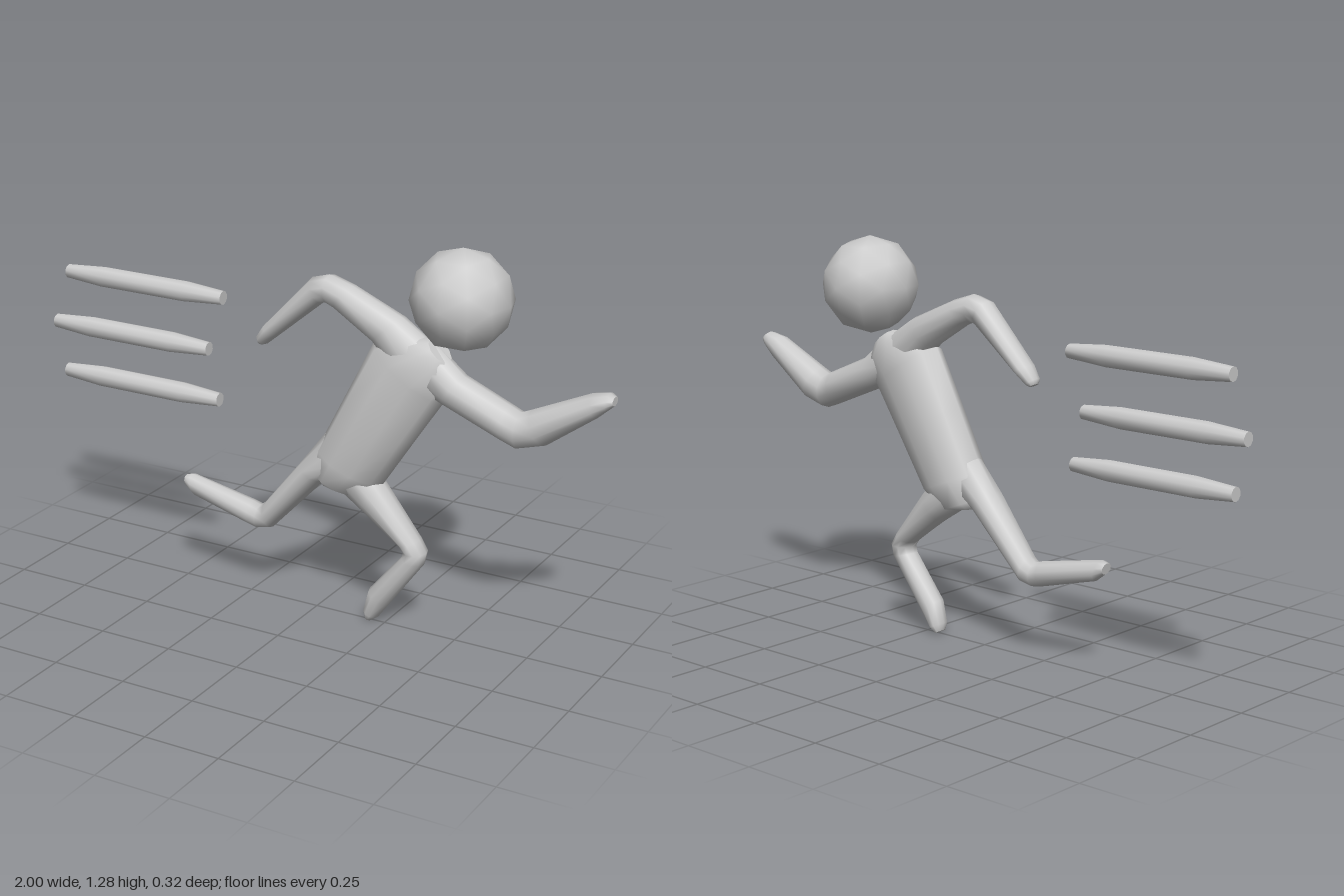
import * as THREE from 'three';

const SIDES = 10;
const material = new THREE.MeshStandardMaterial({ color: 0xcccccc });

// Smooth tube lofted through oval sections in the xy plane.
// Section: [x, y of the edge left of travel, x, y of the right edge, half depth in z]
function loft(name, sections) {
  const pos = [], index = [];
  const ring = ([ax, ay, bx, by, d]) => {
    for (let i = 0; i < SIDES; i++) {
      const t = (i / SIDES) * Math.PI * 2, c = Math.cos(t) / 2;
      pos.push((ax + bx) / 2 + (ax - bx) * c, (ay + by) / 2 + (ay - by) * c, d * Math.sin(t));
    }
  };
  sections.forEach(ring);
  for (let s = 0; s < sections.length - 1; s++) {
    for (let i = 0; i < SIDES; i++) {
      const a = s * SIDES + i, b = s * SIDES + (i + 1) % SIDES;
      index.push(a, b, b + SIDES, a, b + SIDES, a + SIDES);
    }
  }
  // End caps on their own vertices, so their rims stay sharp
  [sections[0], sections[sections.length - 1]].forEach((section, end) => {
    const base = pos.length / 3;
    ring(section);
    for (let i = 1; i < SIDES - 1; i++) {
      if (end) index.push(base, base + i, base + i + 1);
      else index.push(base, base + i + 1, base + i);
    }
  });
  const geometry = new THREE.BufferGeometry();
  geometry.setAttribute('position', new THREE.Float32BufferAttribute(pos, 3));
  geometry.setIndex(index);
  geometry.computeVertexNormals();
  const mesh = new THREE.Mesh(geometry, material);
  mesh.name = name;
  return mesh;
}

export function createModel() {
  const model = new THREE.Group();
  model.name = 'runningFigure';

  // Faceted ball head with smooth shading
  const head = new THREE.Mesh(new THREE.IcosahedronGeometry(0.16, 1), material);
  head.name = 'head';
  head.position.set(0.497, 1.125, 0);
  model.add(head);

  // Leaning torso, neck to crotch
  model.add(loft('torso', [
    [0.46, 0.92, 0.395, 0.985, 0.045],
    [0.49, 0.86, 0.31, 0.99, 0.065],
    [0.445, 0.79, 0.205, 0.95, 0.083],
    [0.345, 0.64, 0.11, 0.765, 0.083],
    [0.24, 0.48, 0.01, 0.57, 0.083],
    [0.16, 0.425, -0.01, 0.49, 0.065],
    [0.08, 0.44, 0.025, 0.45, 0.04],
  ]));

  // Arm swung back
  model.add(loft('backArm', [
    [0.34, 0.8, 0.44, 0.945, 0.06],
    [0.205, 0.95, 0.3, 1.035, 0.064],
    [0.07, 1.035, 0.125, 1.11, 0.055],
    [0.045, 1.045, 0.045, 1.135, 0.052],
    [0.022, 1.04, -0.015, 1.118, 0.05],
    [-0.135, 0.91, -0.19, 0.935, 0.04],
    [-0.18, 0.873, -0.215, 0.897, 0.028],
    [-0.193, 0.869, -0.212, 0.88, 0.018],
  ]));

  // Arm swung forward
  model.add(loft('frontArm', [
    [0.42, 0.965, 0.32, 0.84, 0.06],
    [0.51, 0.885, 0.445, 0.79, 0.063],
    [0.665, 0.82, 0.645, 0.71, 0.06],
    [0.7, 0.805, 0.7, 0.69, 0.058],
    [0.735, 0.82, 0.785, 0.715, 0.058],
    [0.925, 0.907, 0.945, 0.833, 0.047],
    [0.98, 0.918, 0.975, 0.86, 0.035],
    [0.997, 0.908, 0.997, 0.88, 0.022],
  ]));

  // Leg kicked back
  model.add(loft('backLeg', [
    [0.2, 0.52, 0.03, 0.61, 0.06],
    [0.03, 0.45, -0.05, 0.505, 0.062],
    [-0.165, 0.245, -0.192, 0.328, 0.045],
    [-0.215, 0.235, -0.212, 0.313, 0.043],
    [-0.25, 0.243, -0.24, 0.322, 0.043],
    [-0.455, 0.298, -0.475, 0.369, 0.034],
    [-0.49, 0.325, -0.497, 0.362, 0.022],
  ]));

  // Leg lifted forward
  model.add(loft('frontLeg', [
    [0.17, 0.56, 0.06, 0.455, 0.06],
    [0.24, 0.48, 0.17, 0.385, 0.062],
    [0.37, 0.315, 0.305, 0.288, 0.047],
    [0.395, 0.275, 0.318, 0.271, 0.045],
    [0.387, 0.235, 0.312, 0.25, 0.044],
    [0.265, 0.068, 0.195, 0.11, 0.04],
    [0.228, 0.017, 0.178, 0.038, 0.035],
    [0.205, 0, 0.183, 0.012, 0.022],
  ]));

  // Three tapered speed lines trailing behind
  [[-0.643, 0.998], [-0.7, 0.817], [-0.662, 0.65]].forEach(([x, y], i) => {
    const bar = loft('speedLine' + (i + 1), [
      [-0.3, 0.023], [-0.16, 0.034], [0.16, 0.034], [0.3, 0.023],
    ].map(([px, r]) => [px, r, px, -r, r]));
    bar.position.set(x, y, 0);
    model.add(bar);
  });

  return model;
}
